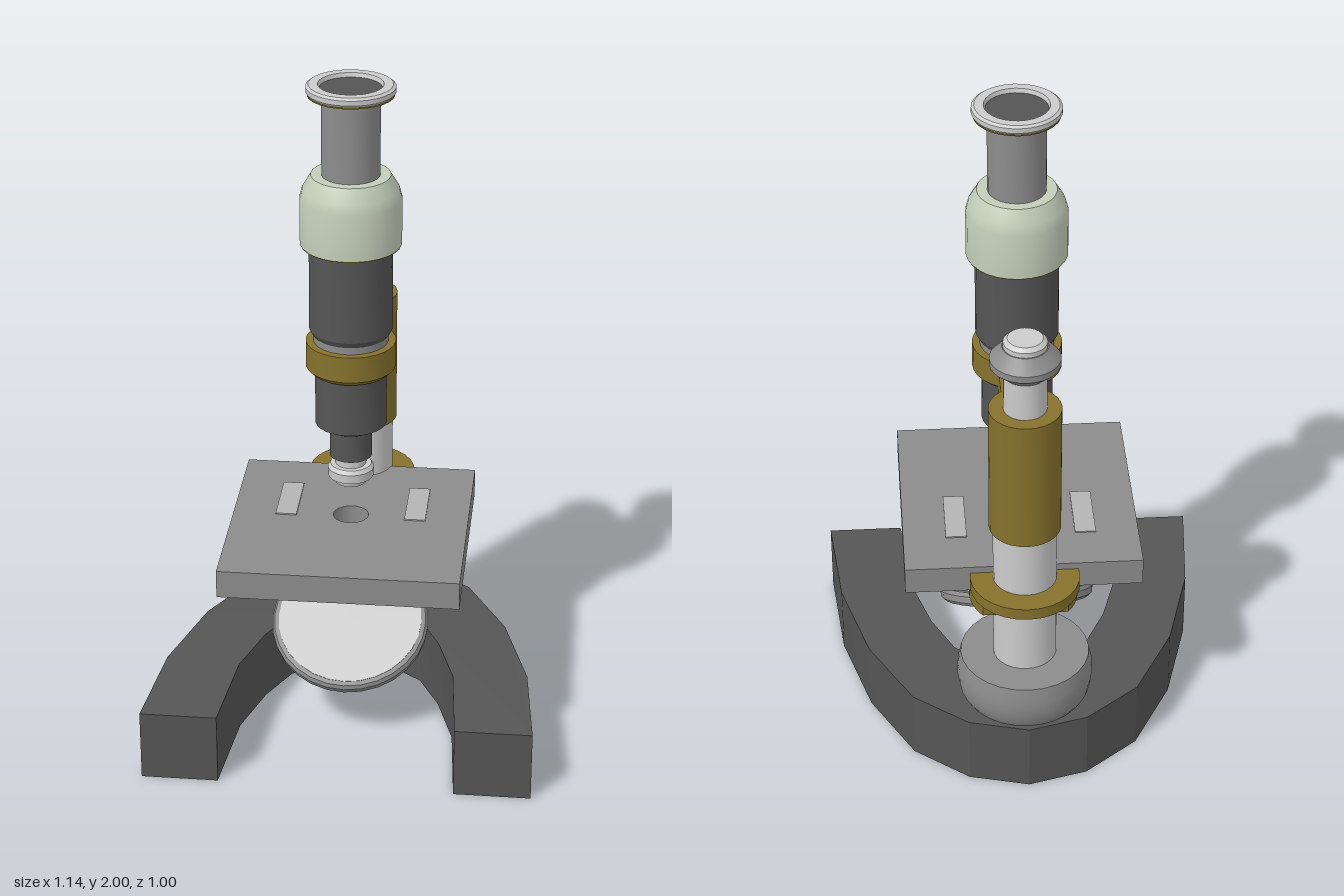
import * as THREE from 'three';
import { toCreasedNormals } from 'three/addons/utils/BufferGeometryUtils.js';

const LIGHT = 0xcccccc, MID = 0x8c8c8c, DARK = 0x555555, BRASS = 0x86722c, GREEN = 0xc3cdb8;
const TUBE_Z = 0.04, COLUMN_Z = -0.3;

export function createModel() {
  const model = new THREE.Group();
  model.name = 'microscope';

  const add = (name, geometry, color, x = 0, y = 0, z = 0, parent = model) => {
    const mesh = new THREE.Mesh(geometry, new THREE.MeshStandardMaterial({ color }));
    mesh.name = name;
    mesh.position.set(x, y, z);
    parent.add(mesh);
    return mesh;
  };

  // Turned part: closed profile of [radius, height] pairs, bottom to top
  const turned = (name, profile, color, z, parent = model) => {
    const pts = profile.map(([r, y]) => new THREE.Vector2(r, y));
    pts.unshift(new THREE.Vector2(0, profile[0][1]));
    pts.push(new THREE.Vector2(0, profile[profile.length - 1][1]));
    return add(name, toCreasedNormals(new THREE.LatheGeometry(pts, 28), 0.5), color, 0, 0, z, parent);
  };
  const rod = (name, r, y0, y1, color, z) => turned(name, [[r, y0], [r, y1]], color, z);

  // Flat plate: outline drawn as (x, -z), raised from y0 to y1
  const plate = (name, shape, y0, y1, color, z = 0) => {
    const g = new THREE.ExtrudeGeometry(shape, { depth: y1 - y0, bevelEnabled: false, curveSegments: 28 });
    g.rotateX(-Math.PI / 2);
    return add(name, toCreasedNormals(g, 0.35), color, 0, y0, z);
  };

  // Horseshoe base, half outlines mirrored
  const outer = [[0.57, 0.5], [0.54, 0.18], [0.46, -0.1], [0.335, -0.33], [0.175, -0.455], [0, -0.5]];
  const inner = [[0, -0.205], [0.1, -0.185], [0.2, -0.11], [0.265, 0.02], [0.32, 0.2], [0.345, 0.5]];
  const mirror = (pts) => pts.slice().reverse().map(([x, z]) => [-x, z]);
  const outline = [...outer, ...mirror(outer).slice(1), ...mirror(inner), ...inner.slice(1)];
  plate('base', new THREE.Shape(outline.map(([x, z]) => new THREE.Vector2(x, -z))), 0, 0.215, DARK);

  // Column with its foot, sleeve and knob
  turned('columnFoot', [[0.178, 0.21], [0.193, 0.235], [0.2, 0.275], [0.2, 0.315], [0.19, 0.36]], MID, COLUMN_Z);
  rod('column', 0.093, 0.35, 0.83, LIGHT, COLUMN_Z);
  rod('columnSleeve', 0.104, 0.82, 1.23, BRASS, COLUMN_Z);
  rod('knobShaft', 0.062, 1.22, 1.36, LIGHT, COLUMN_Z);
  turned('focusKnob', [[0.062, 1.345], [0.1, 1.38], [0.1, 1.4], [0.065, 1.437]], MID, COLUMN_Z);
  turned('knobCap', [[0.062, 1.43], [0.062, 1.452], [0.05, 1.463]], LIGHT, COLUMN_Z);

  // Arm and collar holding the tube
  add('arm', new THREE.BoxGeometry(0.125, 0.093, 0.26), BRASS, 0, 1.183, -0.15);
  turned('tubeCollar', [[0.115, 1.135], [0.13, 1.15], [0.13, 1.228]], BRASS, TUBE_Z);

  // Body tube
  rod('lowerTube', 0.104, 0.968, 1.14, DARK, TUBE_Z);
  turned('tubeNeck', [[0.108, 1.22], [0.108, 1.25]], MID, TUBE_Z);
  turned('upperTube', [[0.11, 1.25], [0.12, 1.268], [0.12, 1.535]], DARK, TUBE_Z);
  rod('gripUnderside', 0.143, 1.526, 1.53, BRASS, TUBE_Z);
  turned('grip', [[0.145, 1.53], [0.145, 1.665], [0.137, 1.695], [0.113, 1.735]], GREEN, TUBE_Z);
  rod('drawTube', 0.083, 1.73, 1.975, MID, TUBE_Z);
  rod('rimUnderside', 0.122, 1.969, 1.973, BRASS, TUBE_Z);
  turned('eyepieceRim', [[0.121, 1.973], [0.126, 1.98], [0.126, 1.994], [0.118, 2], [0.092, 2], [0.088, 1.986]], LIGHT, TUBE_Z);
  rod('eyepieceLens', 0.088, 1.98, 1.988, DARK, TUBE_Z);

  // Objective
  turned('objectiveBarrel', [[0.062, 0.86], [0.062, 0.945], [0.07, 0.95], [0.07, 0.97]], DARK, TUBE_Z);
  rod('objectiveNeck', 0.045, 0.825, 0.862, LIGHT, TUBE_Z);
  turned('objectiveRing', [[0.046, 0.772], [0.05, 0.786], [0.066, 0.792], [0.068, 0.82], [0.06, 0.832]], LIGHT, TUBE_Z);

  // Stage with light hole and slide clips
  const stage = new THREE.Shape([[-0.348, -0.42], [0.348, -0.42], [0.348, 0.28], [-0.348, 0.28]].map((p) => new THREE.Vector2(...p)));
  stage.holes.push(new THREE.Path().absarc(0, -TUBE_Z, 0.052, 0, Math.PI * 2, true));
  plate('stage', stage, 0.573, 0.657, MID);
  for (const side of [-1, 1]) add('stageClip', new THREE.BoxGeometry(0.062, 0.006, 0.198), 0xb4b4b4, side * 0.191, 0.658, -0.037);

  // Brass discs under the stage, the lower one cut straight at the back
  rod('stageDisc', 0.16, 0.6, 0.636, BRASS, COLUMN_Z);
  const cut = Math.asin(0.1 / 0.16);
  const disc = new THREE.Shape().absarc(0, 0, 0.16, Math.PI - cut, Math.PI * 2 + cut, false);
  plate('diaphragmDisc', disc, 0.521, 0.562, BRASS, -0.235);

  // Tilted mirror
  const mirrorGroup = new THREE.Group();
  mirrorGroup.name = 'mirror';
  mirrorGroup.position.set(0, 0.298, 0.058);
  mirrorGroup.rotation.x = Math.PI / 6;
  model.add(mirrorGroup);
  turned('mirrorFrame', [[0.222, -0.022], [0.233, -0.012], [0.235, 0.008], [0.228, 0.02], [0.215, 0.022]], MID, 0, mirrorGroup);
  turned('mirrorGlass', [[0.215, 0.018], [0.215, 0.0235]], LIGHT, 0, mirrorGroup);

  // Mirror bracket running forward from the foot
  const bracket = (name, rBack, rFront, z0, z1, y) => {
    const g = new THREE.CylinderGeometry(rFront, rBack, z1 - z0, 16).rotateX(Math.PI / 2);
    return add(name, g, MID, 0, y, (z0 + z1) / 2);
  };
  bracket('bracketBoss', 0.035, 0.035, -0.16, -0.11, 0.27);
  bracket('bracketCone', 0.035, 0.022, -0.11, -0.05, 0.27);
  bracket('bracketPin', 0.02, 0.012, -0.055, 0.05, 0.275).rotation.x = -0.1;

  return model;
}
